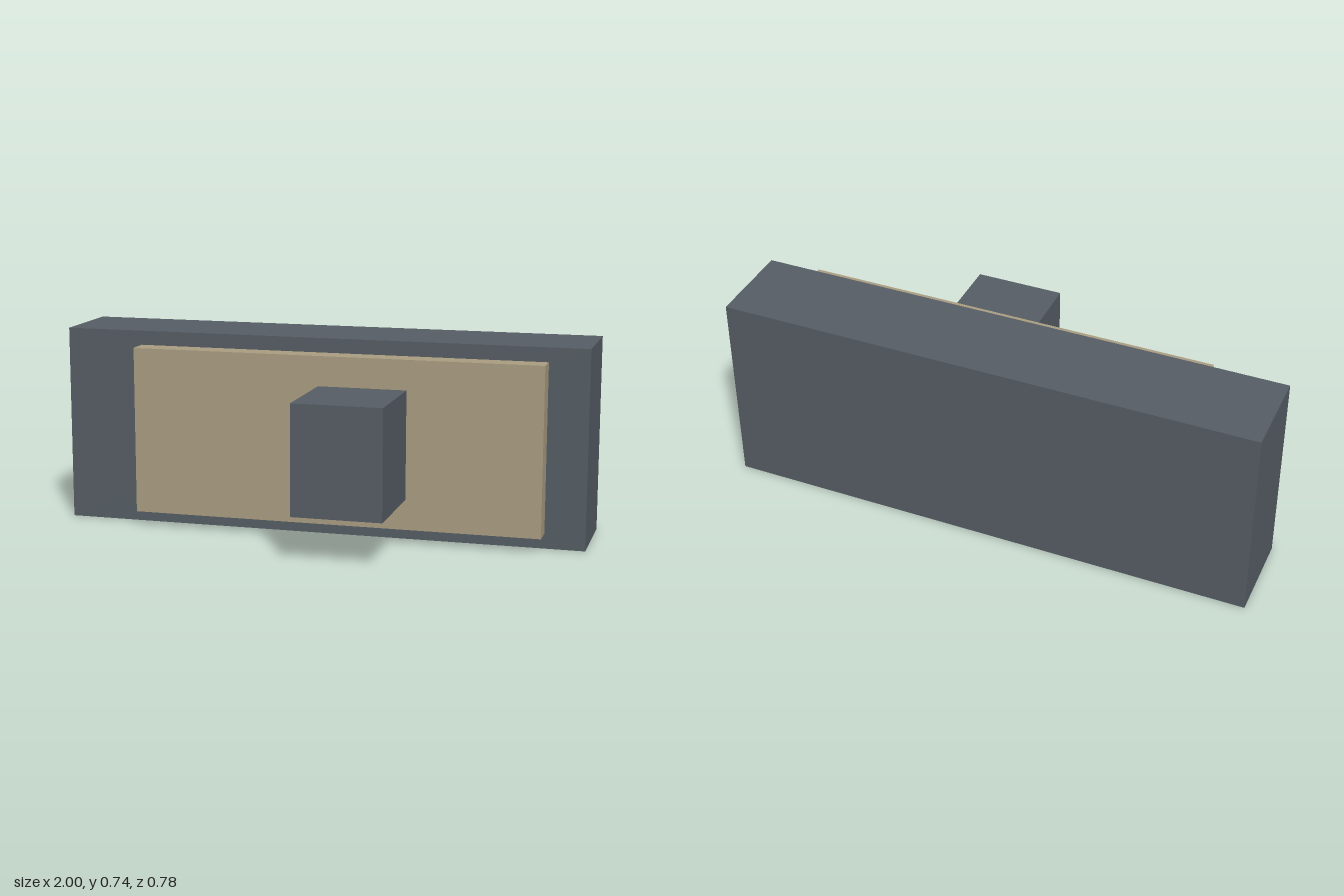
import * as THREE from 'three';

const slate = new THREE.MeshStandardMaterial({ color: 0x555d64 });
const tan = new THREE.MeshStandardMaterial({ color: 0xa99c80 });

// Box given by its lower and upper corners
function block(name, material, [x0, y0, z0], [x1, y1, z1]) {
  const mesh = new THREE.Mesh(new THREE.BoxGeometry(x1 - x0, y1 - y0, z1 - z0), material);
  mesh.position.set((x0 + x1) / 2, (y0 + y1) / 2, (z0 + z1) / 2);
  mesh.name = name;
  return mesh;
}

export function createModel() {
  const model = new THREE.Group();
  model.name = 'switchBlock';
  model.add(
    // Wide slab at the back
    block('backSlab', slate, [-1, 0, -0.389], [1, 0.742, -0.055]),
    // Thin tan plate on the front of the slab
    block('facePlate', tan, [-0.704, 0.056, -0.055], [0.85, 0.688, 0.029]),
    // Off-centre block standing out from the plate
    block('frontBlock', slate, [0.016, 0.169, 0.029], [0.349, 0.576, 0.389]),
  );
  return model;
}
